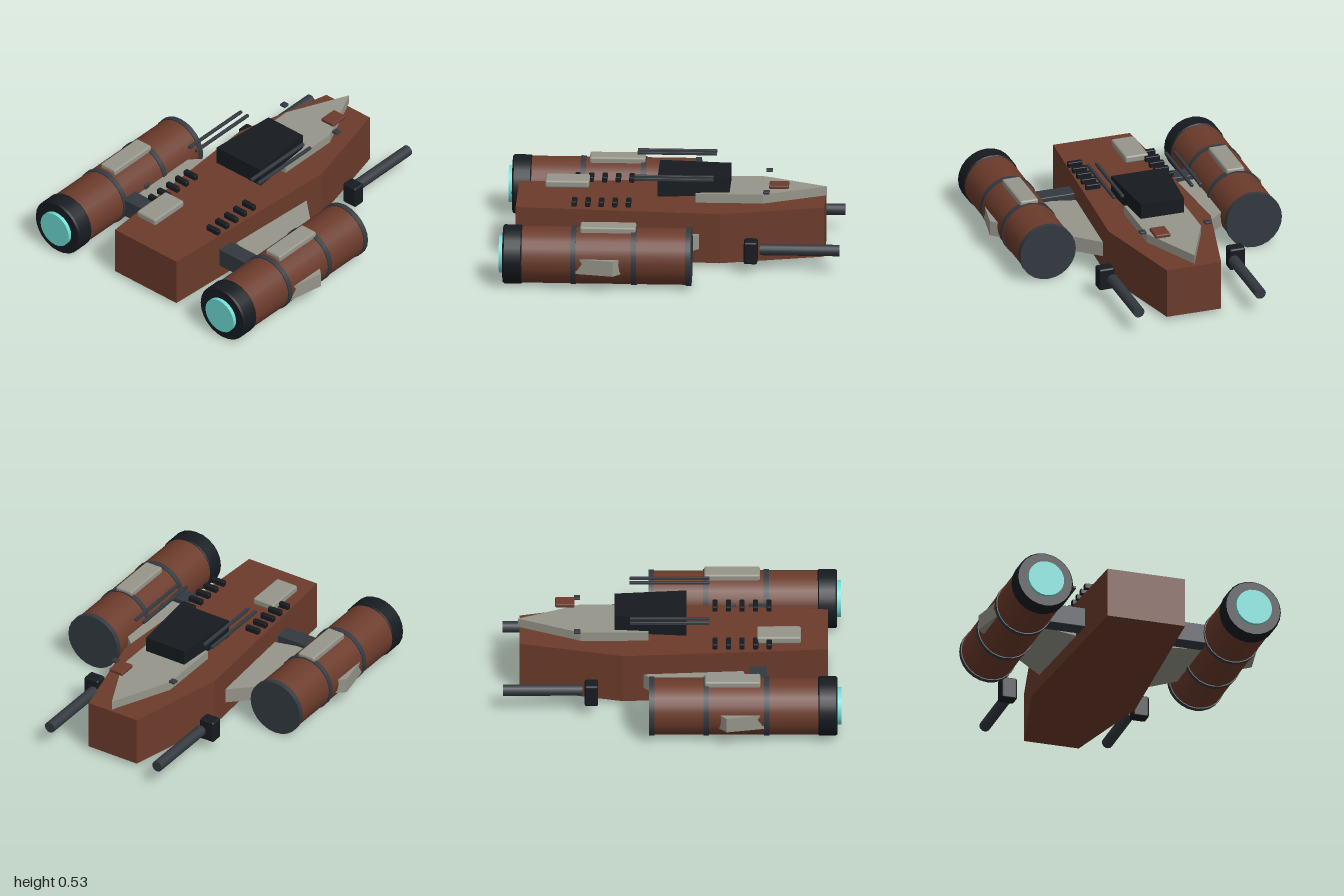
import * as THREE from 'three';
import { RoundedBoxGeometry } from 'three/addons/geometries/RoundedBoxGeometry.js';

const mat = (color) => new THREE.MeshStandardMaterial({ color });
const BROWN = mat(0x6b3b2b), GREY = mat(0x96958a), BLACK = mat(0x161b20);
const STEEL = mat(0x333940), GLOW = mat(0x70dcd6);

export function createModel() {
  const root = new THREE.Group();
  root.name = 'spaceship';

  const add = (parent, name, geometry, material, x = 0, y = 0, z = 0) => {
    const mesh = new THREE.Mesh(geometry, material);
    mesh.name = name;
    mesh.position.set(x, y, z);
    parent.add(mesh);
    return mesh;
  };

  // Box given by its min and max corners, with softened edges
  const block = (parent, name, material, [x0, y0, z0], [x1, y1, z1], r = 0.006) => add(parent, name,
    new RoundedBoxGeometry(x1 - x0, y1 - y0, z1 - z0, 2, r), material,
    (x0 + x1) / 2, (y0 + y1) / 2, (z0 + z1) / 2);

  // Flat slab: outline in x and z, raised from y0 to y1
  const slab = (parent, name, material, outline, y0, y1) => {
    const shape = new THREE.Shape(outline.map(([x, z]) => new THREE.Vector2(x, z)));
    const g = new THREE.ExtrudeGeometry(shape, { depth: y1 - y0, bevelEnabled: false });
    g.rotateX(Math.PI / 2);
    return add(parent, name, g, material, 0, y1, 0);
  };

  // Cylinder lying along z
  const tube = (parent, name, material, r, z0, z1, x, y, sides = 24) => {
    const g = new THREE.CylinderGeometry(r, r, z1 - z0, sides);
    g.rotateX(Math.PI / 2);
    return add(parent, name, g, material, x, y, (z0 + z1) / 2);
  };

  // Hull, nose plate and cockpit
  slab(root, 'hull', BROWN,
    [[-0.17, -0.9], [0.17, -0.9], [0.32, -0.29], [0.24, 0.92], [-0.24, 0.92], [-0.32, -0.29]], 0.03, 0.335);
  slab(root, 'nosePlate', GREY,
    [[0, -0.91], [0.17, -0.54], [0.17, -0.14], [-0.17, -0.14], [-0.17, -0.54]], 0.355, 0.41);
  slab(root, 'cockpit', BLACK,
    [[-0.135, -0.34], [0.135, -0.34], [0.172, 0.085], [-0.172, 0.085]], 0.39, 0.503);

  // Off-centre deck details
  block(root, 'rearHatch', GREY, [-0.21, 0.353, 0.5], [-0.065, 0.398, 0.76], 0.012);
  block(root, 'noseSensor', BROWN, [0.072, 0.443, -0.69], [0.165, 0.465, -0.575]);

  for (const s of [1, -1]) {
    const side = new THREE.Group();
    side.name = s > 0 ? 'leftSide' : 'rightSide';
    root.add(side);
    // Box mirrored to this side
    const sideBlock = (name, material, [x0, y0, z0], [x1, y1, z1], r) => block(side, name, material,
      [Math.min(s * x0, s * x1), y0, z0], [Math.max(s * x0, s * x1), y1, z1], r);

    // Wing running through the engine, and its strut
    slab(side, 'wing', GREY, [[0.2, -0.27], [0.848, 0.32], [0.802, 0.56], [0.2, 0.4]].map(([x, z]) => [s * x, z]),
      0.115, 0.207);
    sideBlock('engineStrut', STEEL, [0.22, 0.113, 0.455], [0.54, 0.235, 0.56]);

    // Engine
    const ex = s * 0.645, ey = 0.18;
    tube(side, 'engineBody', BROWN, 0.168, -0.13, 0.88, ex, ey);
    tube(side, 'engineIntake', STEEL, 0.165, -0.138, -0.12, ex, ey);
    for (const z of [-0.122, 0.2, 0.557]) tube(side, 'engineBand', STEEL, 0.174, z - 0.016, z + 0.016, ex, ey);
    const nozzle = new THREE.LatheGeometry([[0, 0], [0.165, 0], [0.175, 0.01], [0.175, 0.01], [0.175, 0.107],
      [0.175, 0.107], [0.167, 0.117], [0.167, 0.117], [0, 0.117]].map(([r, h]) => new THREE.Vector2(r, h)), 24);
    nozzle.rotateX(Math.PI / 2);
    add(side, 'engineNozzle', nozzle, BLACK, ex, ey, 0.858);
    tube(side, 'engineGlow', GLOW, 0.11, 0.95, 0.998, ex, ey);
    sideBlock('engineTopPanel', GREY, [0.588, 0.325, 0.19], [0.702, 0.371, 0.52], 0.012);
    sideBlock('engineLatch', STEEL, [0.474, 0.2, 0.337], [0.53, 0.235, 0.377]);

    // Forward gun
    tube(side, 'gunBarrel', STEEL, 0.034, -1, -0.53, s * 0.38, 0.14, 16);
    sideBlock('gunMount', BLACK, [0.36, 0.07, -0.517], [0.458, 0.206, -0.437], 0.012);

    // Deck rails, vents and nose lamp
    for (const x of [0.217, 0.27]) sideBlock('deckRail', STEEL, [x - 0.009, 0.521, -0.25], [x + 0.009, 0.538, 0.22], 0.003);
    for (let i = 0; i < 5; i++) {
      const z = 0.253 + i * 0.08;
      sideBlock('deckVent', BLACK, [0.182, 0.352, z - 0.015], [0.273, 0.385, z + 0.015], 0.005);
    }
    sideBlock('noseLamp', STEEL, [0.184, 0.43, -0.58], [0.223, 0.445, -0.542], 0.004);
  }
  return root;
}
